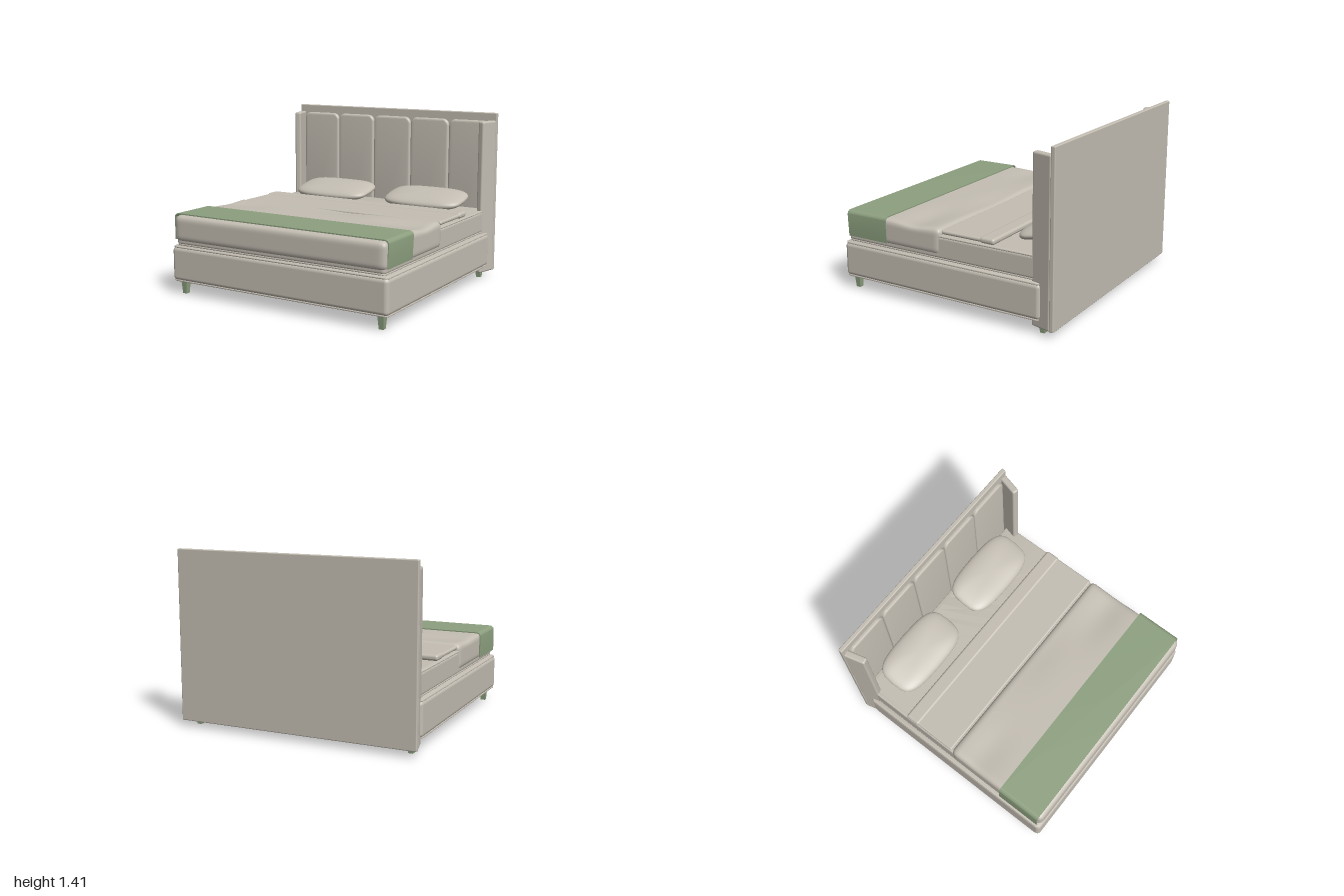
import * as THREE from 'three';
import { mergeVertices, toCreasedNormals } from 'three/addons/utils/BufferGeometryUtils.js';
import { RoundedBoxGeometry } from 'three/addons/geometries/RoundedBoxGeometry.js';

const fabric = new THREE.MeshStandardMaterial({ color: 0xc4beb3 });
fabric.name = 'warm grey fabric';
const green = new THREE.MeshStandardMaterial({ color: 0x8da07f });
green.name = 'sage green';

function add(parent, name, geometry, material, x = 0, y = 0, z = 0) {
  const mesh = new THREE.Mesh(geometry, material);
  mesh.name = name;
  mesh.position.set(x, y, z);
  parent.add(mesh);
  return mesh;
}

// Soft block given by its limits, centred on x
function block(parent, name, w, y0, y1, z0, z1, r) {
  const geo = new RoundedBoxGeometry(w, y1 - y0, z1 - z0, 5, r);
  return add(parent, name, geo, fabric, 0, (y0 + y1) / 2, (z0 + z1) / 2);
}

// Rounded rectangle with bevelled rim, centred on x, y and z
function slab(w, h, r, depth, bevel) {
  const a = w / 2 - bevel, b = h / 2 - bevel, c = r - bevel;
  const s = new THREE.Shape();
  s.absarc(a - c, b - c, c, 0, Math.PI / 2);
  s.absarc(-a + c, b - c, c, Math.PI / 2, Math.PI);
  s.absarc(-a + c, -b + c, c, Math.PI, Math.PI * 1.5);
  s.absarc(a - c, -b + c, c, Math.PI * 1.5, Math.PI * 2);
  const geo = new THREE.ExtrudeGeometry(s, {
    depth: depth - 2 * bevel, bevelThickness: bevel, bevelSize: bevel, bevelSegments: 5, curveSegments: 8,
  });
  geo.translate(0, 0, bevel - depth / 2);
  return toCreasedNormals(geo, 0.7);
}

// Raised seam running round a cushion
function piping(parent, name, w, y, z0, z1) {
  const geo = slab(w, z1 - z0, 0.04, 0.014, 0.006).rotateX(-Math.PI / 2);
  add(parent, name, geo, fabric, 0, y, (z0 + z1) / 2);
}

// Recompute smooth normals after moving vertices
function smooth(geo) {
  geo.deleteAttribute('uv');
  geo.deleteAttribute('normal');
  const merged = mergeVertices(geo, 1e-4);
  merged.computeVertexNormals();
  return merged;
}

// Rounded box on a fine grid, with shallow hollows in the top
function duvetGeometry(w, h, d, r) {
  const geo = new THREE.BoxGeometry(w, h, d, 64, 14, 42);
  const p = geo.attributes.position;
  const half = new THREE.Vector3(w / 2 - r, h / 2 - r, d / 2 - r);
  const low = half.clone().negate();
  const v = new THREE.Vector3(), inner = new THREE.Vector3();
  for (let i = 0; i < p.count; i++) {
    v.fromBufferAttribute(p, i);
    inner.copy(v).clamp(low, half);
    v.sub(inner).normalize().multiplyScalar(r).add(inner);
    const lift = Math.max(0, v.y / (h / 2));
    const hollow = (cx, cz, sx, sz) => Math.exp(-(((v.x - cx) / sx) ** 2) - ((v.z - cz) / sz) ** 2);
    v.y -= lift * (0.022 * hollow(0.8, -0.2, 0.3, 0.14) + 0.014 * hollow(0.15, -0.42, 0.3, 0.15)
      + 0.012 * hollow(-0.8, -0.22, 0.25, 0.13));
    p.setXYZ(i, v.x, v.y, v.z);
  }
  return smooth(geo);
}

// Plump cushion: sphere squared off in plan
function pillowGeometry(w, h, d) {
  const geo = new THREE.SphereGeometry(1, 56, 28);
  const p = geo.attributes.position;
  const pow = (t, e) => Math.sign(t) * Math.abs(t) ** e;
  for (let i = 0; i < p.count; i++) {
    const x = p.getX(i), y = p.getY(i), z = p.getZ(i);
    const ring = Math.hypot(x, z) || 1e-6;
    const spread = ring ** 0.8;
    const px = pow(x / ring, 0.4) * spread, pz = pow(z / ring, 0.4) * spread;
    p.setXYZ(i, px * (1 - 0.07 * pz * pz) * w / 2, pow(y, 0.9) * h / 2, pz * (1 - 0.1 * px * px) * d / 2);
  }
  return smooth(geo);
}

// Thin cloth bent over both sides of the bed
function runnerGeometry(halfW, top, bottom, r, t, depth) {
  const s = new THREE.Shape();
  s.moveTo(halfW, bottom);
  s.absarc(halfW - r, top - r, r, 0, Math.PI / 2);
  s.absarc(-halfW + r, top - r, r, Math.PI / 2, Math.PI);
  s.lineTo(-halfW, bottom);
  s.lineTo(-halfW + t, bottom);
  s.absarc(-halfW + r, top - r, r - t, Math.PI, Math.PI / 2, true);
  s.absarc(halfW - r, top - r, r - t, Math.PI / 2, 0, true);
  s.lineTo(halfW - t, bottom);
  const geo = new THREE.ExtrudeGeometry(s, { depth, bevelEnabled: false, curveSegments: 8 });
  return toCreasedNormals(geo, 0.6);
}

export function createModel() {
  const bed = new THREE.Group();
  bed.name = 'bed';

  // Upholstered base with seams
  block(bed, 'base', 1.97, 0.11, 0.39, -0.84, 0.96, 0.035);
  piping(bed, 'baseTopPiping', 1.965, 0.388, -0.835, 0.955);
  piping(bed, 'baseBottomPiping', 1.965, 0.114, -0.835, 0.955);

  // Tapered square legs
  for (const x of [-0.905, 0.905]) {
    for (const z of [0.89, -0.83]) {
      const leg = new THREE.CylinderGeometry(0.039, 0.026, 0.115, 4).rotateY(Math.PI / 4);
      add(bed, 'leg', toCreasedNormals(leg, 0.3), green, x, 0.0575, z);
    }
  }

  // Mattress with seams
  block(bed, 'mattress', 1.9, 0.4, 0.59, -0.875, 0.94, 0.03);
  piping(bed, 'mattressTopPiping', 1.9, 0.583, -0.875, 0.94);
  piping(bed, 'mattressBottomPiping', 1.9, 0.408, -0.875, 0.94);

  // Duvet over the foot half
  add(bed, 'duvet', duvetGeometry(1.92, 0.215, 0.915, 0.045), fabric, 0, 0.5375, 0.4975);

  // Green runner
  add(bed, 'runner', runnerGeometry(0.972, 0.658, 0.445, 0.035, 0.009, 0.38), green, 0, 0, 0.545);

  // Turned-down sheet and its fold
  block(bed, 'foldedSheet', 1.89, 0.604, 0.636, -0.33, 0.035, 0.015);
  block(bed, 'sheetFold', 1.9, 0.598, 0.645, -0.435, -0.31, 0.02);

  // Pillows leaning back
  for (const side of [-1, 1]) {
    const pillow = add(bed, 'pillow', pillowGeometry(0.725, 0.11, 0.4), fabric, side * 0.455, 0.675, -0.69);
    pillow.rotation.x = 0.22;
  }

  // Headboard: back panel, padded channels and angled wings
  const headboard = new THREE.Group();
  headboard.name = 'headboard';
  bed.add(headboard);
  block(headboard, 'backPanel', 1.985, 0.05, 1.408, -0.956, -0.92, 0.008);
  for (let i = -2; i <= 2; i++) {
    add(headboard, 'channel', slab(0.37, 1.28, 0.06, 0.045, 0.02), fabric, i * 0.372, 0.7, -0.917);
  }
  for (const side of [-1, 1]) {
    const geo = new RoundedBoxGeometry(0.056, 1.295, 0.18, 5, 0.016);
    const wing = add(headboard, 'wing', geo, fabric, side * 0.942, 0.6975, -0.843);
    wing.rotation.y = -side * 0.26;
  }
  return bed;
}
